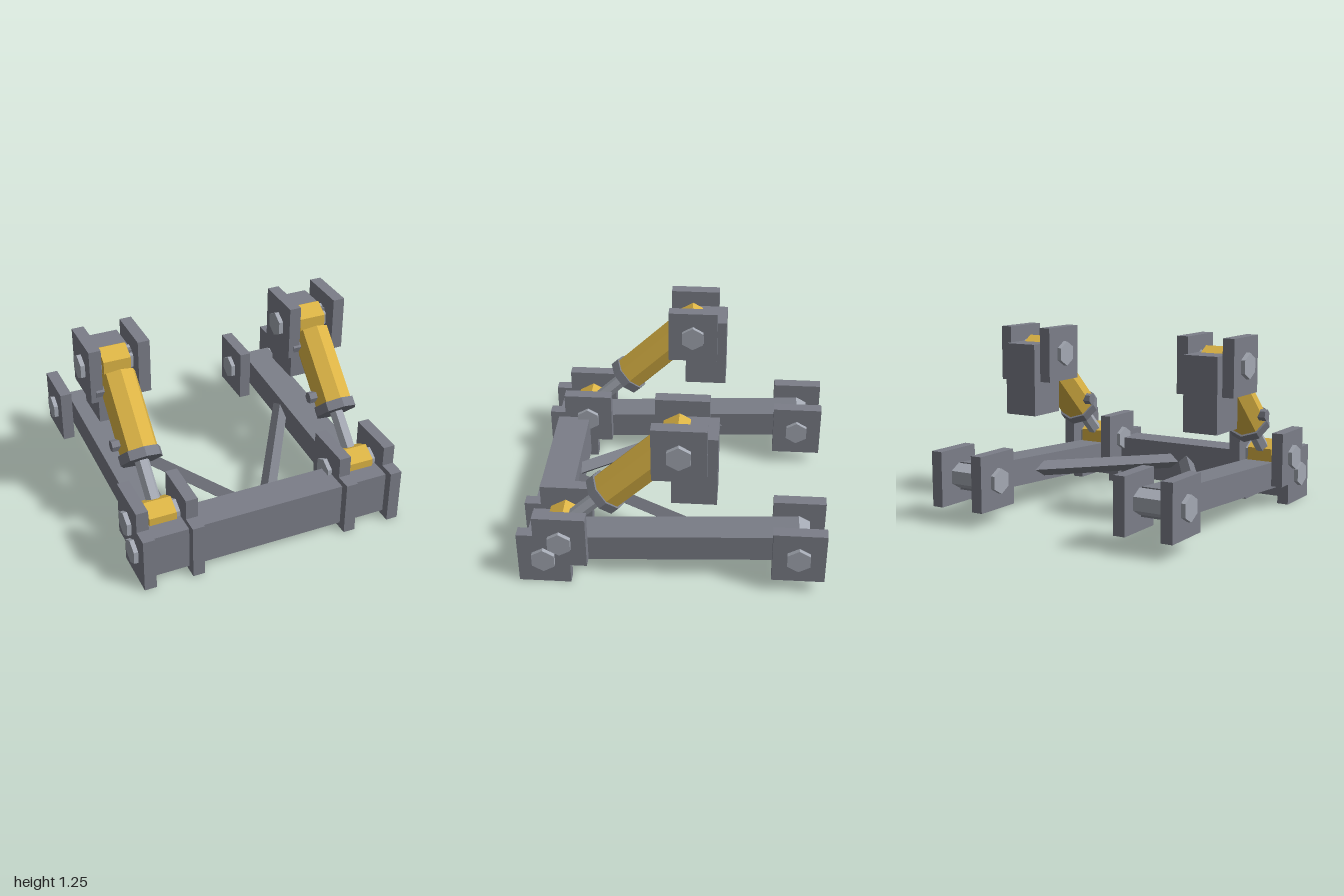
import * as THREE from 'three';

const frameGrey = new THREE.MeshStandardMaterial({ color: 0x7b7e88, flatShading: true });
frameGrey.name = 'frame grey';
const steel = new THREE.MeshStandardMaterial({ color: 0xa4a9b3, flatShading: true });
steel.name = 'light steel';
const yellow = new THREE.MeshStandardMaterial({ color: 0xdcb445, flatShading: true });
yellow.name = 'ram yellow';

const SIDE_X = 0.71; // centre line of each lift arm

function add(parent, name, geometry, material, x = 0, y = 0, z = 0) {
  const mesh = new THREE.Mesh(geometry, material);
  mesh.name = name;
  mesh.position.set(x, y, z);
  parent.add(mesh);
  return mesh;
}

const box = (w, h, d) => new THREE.BoxGeometry(w, h, d);

// Hexagonal prism lying along x, one corner pointing up
const hexAlongX = (r, length) =>
  new THREE.CylinderGeometry(r, r, length, 6).rotateY(Math.PI / 2).rotateZ(Math.PI / 2);

// Pair of lugs either side of the arm, from an outline of [z, y] points
function addLugs(parent, name, outline) {
  const shape = new THREE.Shape(outline.map(([z, y]) => new THREE.Vector2(-z, y)));
  const geometry = new THREE.ExtrudeGeometry(shape, { depth: 0.081, bevelEnabled: false });
  geometry.translate(0, 0, -0.0405).rotateY(Math.PI / 2);
  for (const s of [-1, 1]) add(parent, name, geometry, frameGrey, s * 0.165);
}

const rectangle = (z0, z1, y0, y1) => [[z0, y0], [z0, y1], [z1, y1], [z1, y0]];

// Hydraulic ram: local y runs from the upper pin to the lower pin
function createRam(top, bottom) {
  const ram = new THREE.Group();
  ram.name = 'hydraulicRam';
  const axis = bottom.clone().sub(top);
  const length = axis.length();
  ram.position.copy(top);
  ram.quaternion.setFromUnitVectors(new THREE.Vector3(0, 1, 0), axis.normalize());

  const along = (name, r, sides, from, to, material, turn = 0) =>
    add(ram, name, new THREE.CylinderGeometry(r, r, to - from, sides).rotateY(turn),
      material, 0, (from + to) / 2);
  along('barrel', 0.13, 8, 0.1, 0.63, yellow);
  along('collar', 0.145, 8, 0.625, 0.69, frameGrey);
  along('rod', 0.049, 6, 0.65, length, steel, Math.PI / 2);

  // Hose ports
  for (const t of [0.18, 0.55]) add(ram, 'hosePort', hexAlongX(0.04, 0.1), frameGrey, -0.12, t);
  return ram;
}

function createSide(x) {
  const side = new THREE.Group();
  side.name = 'liftSide';
  side.position.x = x;

  // Lift arm
  const front = new THREE.Vector3(0, 0.197, 0.83);
  const back = new THREE.Vector3(0, 0.288, -0.83);
  const arm = add(side, 'liftArm', box(0.216, 0.187, front.distanceTo(back)), frameGrey);
  arm.position.addVectors(front, back).multiplyScalar(0.5);
  arm.rotation.x = Math.atan2(back.y - front.y, front.z - back.z);

  // Lugs at the front (stepped), back and top of the ram
  addLugs(side, 'frontLug', [[0.657, 0], [1, 0], [1, 0.38], [0.89, 0.38],
    [0.89, 0.522], [0.547, 0.522], [0.547, 0.145], [0.657, 0.145]]);
  addLugs(side, 'rearLug', rectangle(-1, -0.655, 0.1, 0.475));
  addLugs(side, 'upperLug', rectangle(-0.227, 0.117, 0.87, 1.247));

  // Mounting block behind the ram
  add(side, 'mountingBlock', box(0.244, 0.5, 0.29), frameGrey, 0, 0.885, -0.145);

  // Pivot pins
  for (const [y, z] of [[0.195, 0.83], [0.335, 0.72], [0.288, -0.825], [1.06, -0.055]])
    add(side, 'pivotPin', hexAlongX(0.086, 0.47), steel, 0, y, z);

  // Ram with a knuckle at each end
  const top = new THREE.Vector3(0, 1.06, -0.04);
  const bottom = new THREE.Vector3(0, 0.335, 0.715);
  for (const p of [top, bottom])
    add(side, 'ramKnuckle', hexAlongX(0.116, 0.185), yellow, p.x, p.y, p.z);
  side.add(createRam(top, bottom));
  return side;
}

export function createModel() {
  const model = new THREE.Group();
  model.name = 'liftFrame';

  // Front cross beam
  add(model, 'crossBeam', box(1.68, 0.3, 0.23), frameGrey, 0, 0.19, 0.825);

  for (const s of [-1, 1]) {
    model.add(createSide(s * SIDE_X));

    // Diagonal square brace from beam to arm, one edge up
    const from = new THREE.Vector3(s * 0.035, 0.2, 0.76);
    const to = new THREE.Vector3(s * 0.65, 0.25, -0.25);
    const length = from.distanceTo(to);
    const brace = add(model, 'diagonalBrace',
      new THREE.CylinderGeometry(0.054, 0.054, length, 4).rotateX(Math.PI / 2), frameGrey);
    brace.position.addVectors(from, to).multiplyScalar(0.5);
    brace.lookAt(to);
  }
  return model;
}
